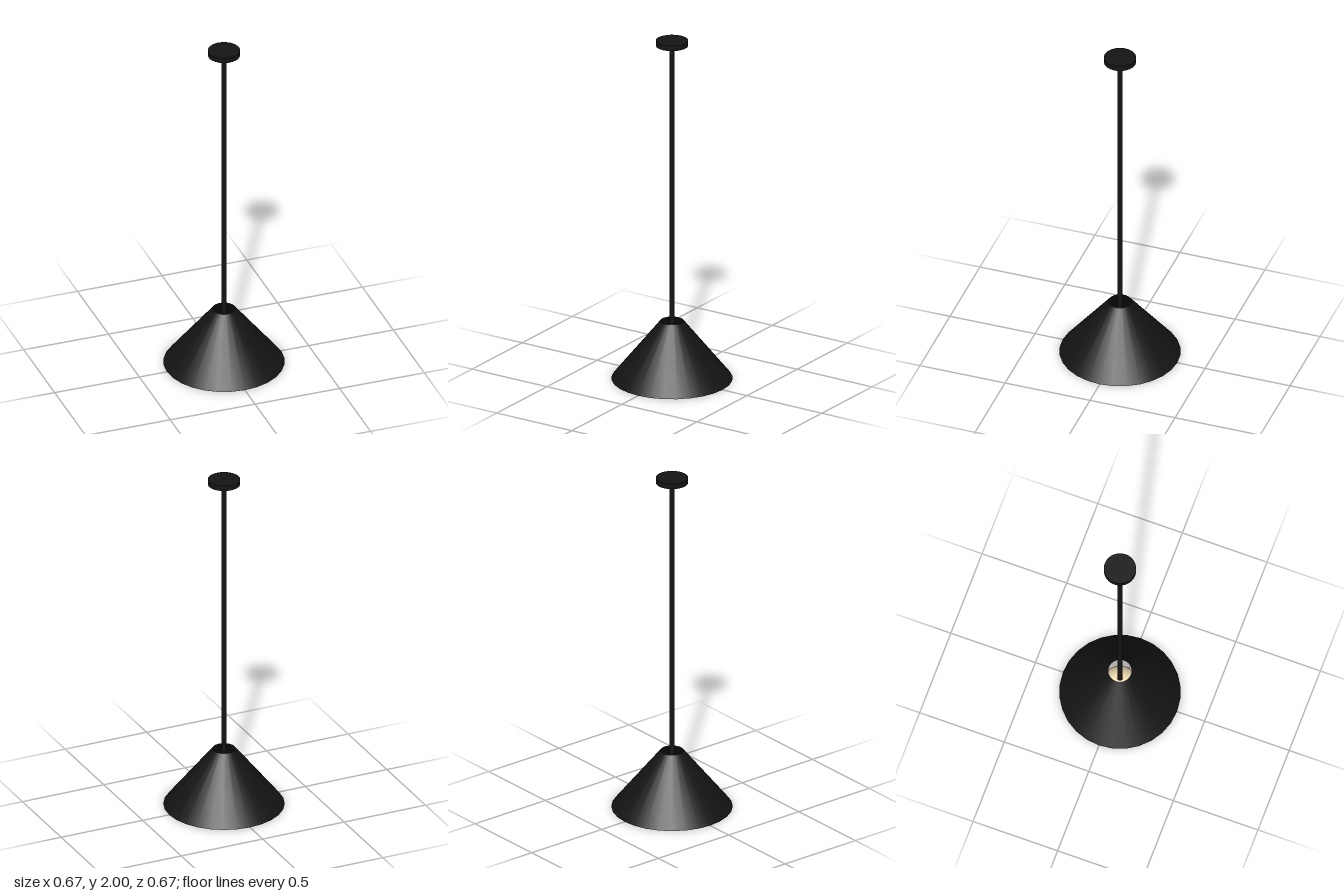
import * as THREE from 'three';

export function createModel() {
  const group = new THREE.Group();
  const black = new THREE.MeshStandardMaterial({ color: 0x141416 });
  const shadeBlack = new THREE.MeshStandardMaterial({ color: 0x141414, side: THREE.DoubleSide });
  const glass = new THREE.MeshStandardMaterial({ color: 0xf5e2b5 });

  function add(name, geometry, material, y) {
    const mesh = new THREE.Mesh(geometry, material);
    mesh.name = name;
    mesh.position.y = y;
    group.add(mesh);
  }

  // Ceiling plate
  add('ceilingPlate', new THREE.CylinderGeometry(0.09, 0.09, 0.03, 28), black, 1.985);

  // Hanging rod, running through the shade's open top down to the bulb
  const rodBottom = 0.2, rodTop = 1.975;
  add('rod', new THREE.CylinderGeometry(0.015, 0.015, rodTop - rodBottom, 12), black, (rodTop + rodBottom) / 2);

  // Thin conical shade, open at both ends
  add('shade', new THREE.CylinderGeometry(0.065, 0.337, 0.34, 28, 1, true), shadeBlack, 0.17);

  // Round bulb
  add('bulb', new THREE.SphereGeometry(0.105, 20, 14), glass, 0.12);

  return group;
}
